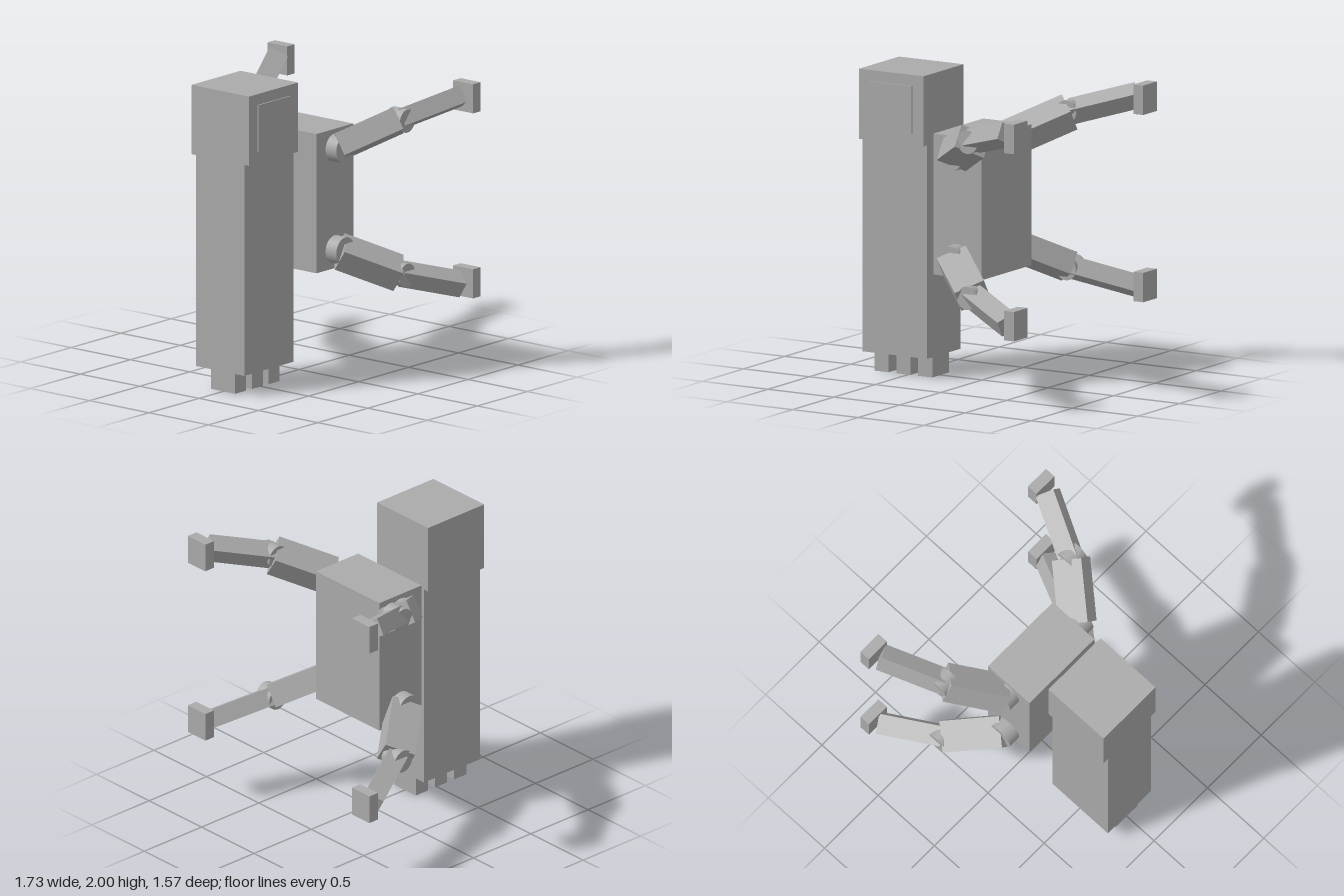
import * as THREE from 'three';

const grey = new THREE.MeshStandardMaterial({ color: 0xaaaaaa });
grey.name = 'plain grey';

function add(parent, name, geometry, x, y, z) {
  const mesh = new THREE.Mesh(geometry, grey);
  mesh.name = name;
  mesh.position.set(x, y, z);
  parent.add(mesh);
  return mesh;
}

// Box given by its lower and upper limits on each axis
function block(parent, name, [x0, x1], [y0, y1], [z0, z1]) {
  return add(parent, name, new THREE.BoxGeometry(x1 - x0, y1 - y0, z1 - z0),
    (x0 + x1) / 2, (y0 + y1) / 2, (z0 + z1) / 2);
}

const MID_Y = 1.186; // the arms mirror above and below this height

// One jointed arm; sx and sy choose the side and the upper or lower pair
function buildArm(sx, sy) {
  const arm = new THREE.Group();
  arm.name = (sy > 0 ? 'upper' : 'lower') + (sx > 0 ? 'LeftArm' : 'RightArm');
  arm.position.y = MID_Y;

  const joint = (name, x, y, z, radius, length) => {
    const g = new THREE.CylinderGeometry(radius, radius, length, 32).rotateZ(Math.PI / 2);
    add(arm, name, g, sx * x, sy * y, z);
  };
  const limb = (name, c, size, tilt, sweep) => {
    const m = add(arm, name, new THREE.BoxGeometry(...size), sx * c[0], sy * c[1], c[2]);
    m.rotation.set(0, sx * sweep, sx * sy * tilt, 'ZYX');
  };

  joint('shoulderJoint', 0.34, 0.338, 0, 0.092, 0.1);
  limb('upperArm', [0.462, 0.427, -0.15], [0.415, 0.155, 0.205], 0.57, 0.785);
  joint('elbowJoint', 0.597, 0.512, -0.3, 0.077, 0.125);
  limb('forearm', [0.684, 0.567, -0.495], [0.445, 0.117, 0.132], 0.54, 1.05);
  add(arm, 'hand', new THREE.BoxGeometry(0.167, 0.193, 0.075), sx * 0.782, sy * 0.614, -0.748);
  return arm;
}

export function createModel() {
  const model = new THREE.Group();
  model.name = 'model';

  // Front column with its head, side panel and feet
  block(model, 'column', [-0.205, 0.2], [0.14, 1.54], [0.295, 0.785]);
  block(model, 'head', [-0.245, 0.24], [1.54, 2.0], [0.295, 0.785]);
  block(model, 'sidePanel', [0.239, 0.249], [1.615, 1.928], [0.38, 0.7]);
  for (const z of [0.37, 0.536, 0.703]) {
    block(model, 'foot', [-0.105, 0.1], [0, 0.14], [z - 0.054, z + 0.054]);
  }

  // Rear body carrying four arms
  block(model, 'rearBody', [-0.305, 0.3], [0.722, 1.646], [-0.185, 0.183]);
  for (const sx of [1, -1]) {
    for (const sy of [1, -1]) model.add(buildArm(sx, sy));
  }
  return model;
}
